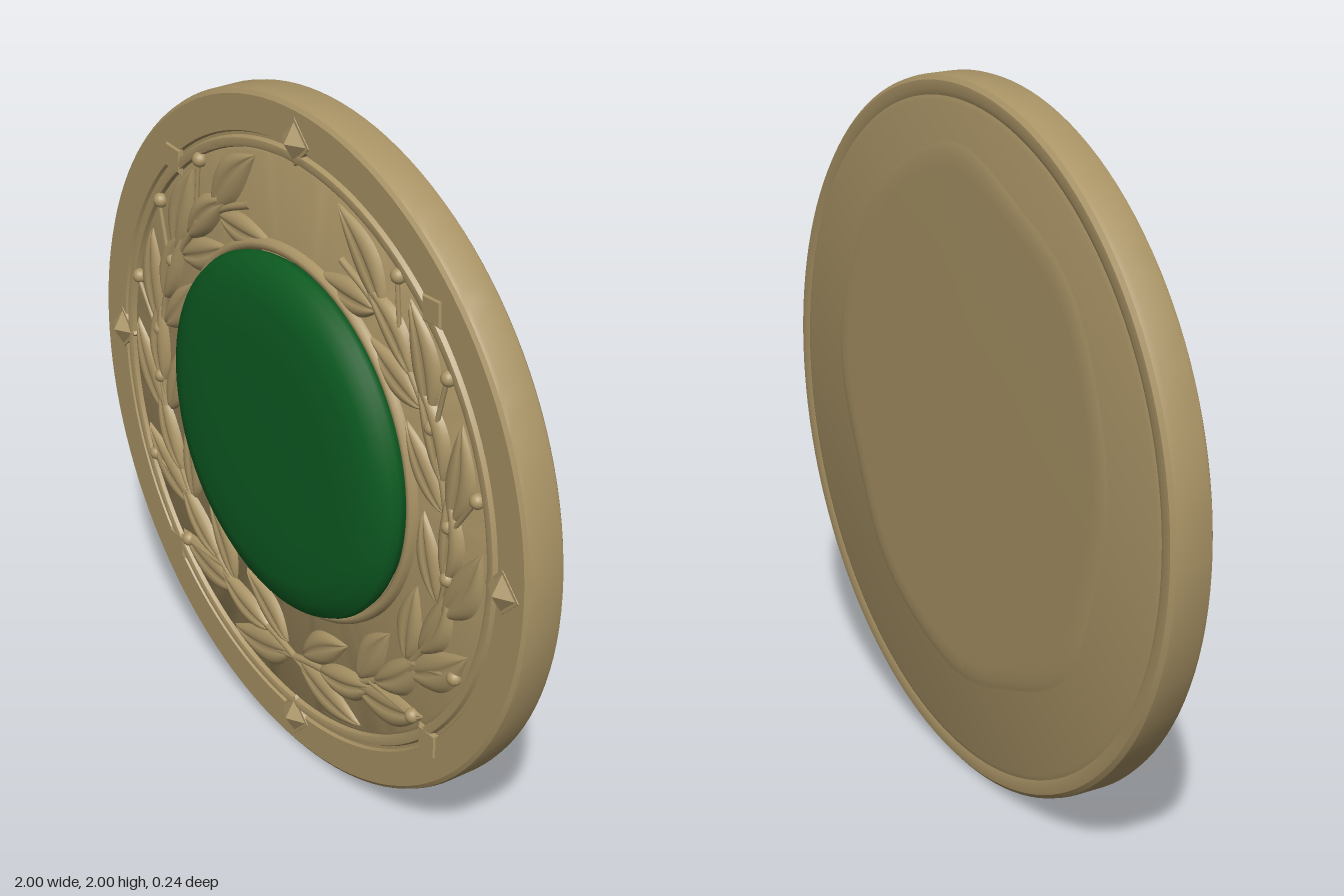
import * as THREE from 'three';
import { toCreasedNormals } from 'three/addons/utils/BufferGeometryUtils.js';

const bronze = new THREE.MeshStandardMaterial({ color: 0xaa9466 });
bronze.name = 'bronze';
const green = new THREE.MeshStandardMaterial({ color: 0x0d5c22 });
green.name = 'gem green';

const FIELD = 0.01; // height of the flat front field

// Turned part around the z axis; profile is [radius, z] from back to front
function turned(profile, segments = 96) {
  const points = profile.map(([r, z]) => new THREE.Vector2(r, z));
  return new THREE.LatheGeometry(points, segments).rotateX(Math.PI / 2);
}

// Point on the wreath: radius, degrees from the bottom, side (+1 or -1)
function polar(r, degrees, side, z = 0) {
  const t = THREE.MathUtils.degToRad(degrees);
  return new THREE.Vector3(side * r * Math.sin(t), 1 - r * Math.cos(t), z);
}

// Domed, pointed leaf with a sunken midrib, running from base to tip
function leafGeometry(base, tip, width, height, bend) {
  const length = base.distanceTo(tip);
  const geo = new THREE.PlaneGeometry(1, 2, 14, 12);
  const pos = geo.attributes.position;
  for (let i = 0; i < pos.count; i++) {
    const u = pos.getX(i) + 0.5;
    const v = pos.getY(i);
    const outline = Math.sin(Math.PI * Math.pow(u, 0.85));
    const rib = 1 - 0.4 * Math.exp(-Math.pow(v * 7, 2));
    const dome = (1 - Math.pow(v, 4)) * rib * Math.pow(Math.max(outline, 0), 0.4);
    pos.setXYZ(i, u * length,
      v * width / 2 * outline + bend * Math.sin(Math.PI * u),
      height * dome - 0.002);
  }
  geo.rotateZ(Math.atan2(tip.y - base.y, tip.x - base.x));
  geo.translate(base.x, base.y, FIELD);
  geo.computeVertexNormals();
  return geo;
}

export function createModel() {
  const model = new THREE.Group();
  model.name = 'medallion';
  const add = (name, geo, material = bronze, parent = model) => {
    const mesh = new THREE.Mesh(geo, material);
    mesh.name = name;
    parent.add(mesh);
    return mesh;
  };

  // Disc with rounded edge, raised rim and ring grooves on the front
  const disc = turned([
    [0, -0.112], [0.93, -0.112], [0.945, -0.107], [0.96, -0.112], [0.985, -0.11],
    [0.997, -0.1], [1, -0.085], [1, -0.005], [0.996, 0.007], [0.985, 0.015],
    [0.9, 0.015], [0.885, 0.015], [0.88, 0.006], [0.872, 0.006], [0.866, 0.018],
    [0.85, 0.02], [0.842, 0.017], [0.838, 0.005], [0.83, FIELD], [0, FIELD],
  ], 128);
  add('disc', toCreasedNormals(disc, 0.6)).position.y = 1;

  // Slightly wavy raised area on the back
  const plateau = turned([[0, -0.12], [0.9, -0.12], [0.95, -0.118], [0.98, -0.114], [1, -0.11]], 72);
  const pp = plateau.attributes.position;
  for (let i = 0; i < pp.count; i++) {
    const a = Math.atan2(pp.getY(i), pp.getX(i));
    const wave = 1 + 0.015 * Math.sin(5 * a + 1) + 0.012 * Math.cos(8 * a);
    pp.setXY(i, pp.getX(i) * 0.72 * wave, pp.getY(i) * 0.77 * wave);
  }
  plateau.computeVertexNormals();
  add('backPlateau', plateau).position.y = 1.05;

  // Domed gem and its bezel
  const gem = turned([
    [0.5, 0], [0.52, 0.03], [0.525, 0.05], [0.515, 0.072], [0.47, 0.097],
    [0.41, 0.113], [0.3, 0.118], [0.15, 0.12], [0, 0.12],
  ], 72);
  add('gem', gem, green).position.y = 1.045;
  const bezel = turned([[0.552, 0], [0.55, 0.022], [0.542, 0.032], [0.532, 0.034], [0.522, 0.028], [0.518, 0]], 96);
  add('bezel', bezel).position.y = 1.045;

  // Four pyramid studs on the rim
  for (const [x, y] of [[0, 0.1], [0, 1.9], [0.9, 1], [-0.9, 1]]) {
    const stud = new THREE.ConeGeometry(0.066, 0.038, 4).rotateX(Math.PI / 2);
    add('rimStud', toCreasedNormals(stud, 0.3)).position.set(x, y, 0.029);
    const plate = new THREE.CylinderGeometry(0.066, 0.07, 0.012, 4).rotateX(Math.PI / 2);
    add('studPlate', toCreasedNormals(plate, 0.3)).position.set(x, y, 0.011);
  }

  // Low lozenges between the studs
  for (const degrees of [45, 138]) {
    for (const side of [1, -1]) {
      const lozenge = new THREE.CylinderGeometry(0.045, 0.058, 0.01, 4).rotateX(Math.PI / 2);
      const mesh = add('rimLozenge', toCreasedNormals(lozenge, 0.3));
      mesh.position.copy(polar(0.88, degrees, side, 0.015));
      mesh.rotation.z = side * THREE.MathUtils.degToRad(degrees);
    }
  }

  // Two mirrored wreath branches
  const berries = [[0.8, 44], [0.81, 64], [0.82, 105], [0.83, 127], [0.83, 147], [0.69, 97], [0.69, 119], [0.69, 84]];
  for (const side of [1, -1]) {
    const branch = new THREE.Group();
    branch.name = side > 0 ? 'leftBranch' : 'rightBranch';
    model.add(branch);

    // Stem
    const path = [];
    for (let t = -6; t <= 162; t += 12) path.push(polar(t < 0 ? 0.72 : 0.68, t, side, 0.013));
    add('stem', new THREE.TubeGeometry(new THREE.CatmullRomCurve3(path), 60, 0.011, 8), bronze, branch);

    // Clusters of outer, inner and middle leaves
    for (let i = 0; i < 7; i++) {
      const t = 1 + 24 * i;
      const leaf = (name, r0, t0, r1, t1, width, height, bend) => add(name,
        leafGeometry(polar(r0, t0, side), polar(r1, t1, side), width, height, side * bend), bronze, branch);
      leaf('outerLeaf', 0.69, t, 0.82, t + 22, 0.12, 0.021, -0.02);
      leaf('innerLeaf', 0.67, t + 2, 0.58, t + 25, 0.105, 0.021, 0.01);
      if (i < 6) leaf('middleLeaf', 0.68, t + 9, 0.7, t + 33, 0.105, 0.025, -0.02);
    }

    // Berries on short stalks
    for (const [r, t] of berries) {
      const stalk = new THREE.LineCurve3(polar(0.68, t - 11, side, 0.02), polar(r, t, side, 0.02));
      add('berryStalk', new THREE.TubeGeometry(stalk, 1, 0.007, 6), bronze, branch);
      const berry = add('berry', new THREE.SphereGeometry(0.022, 16, 12), bronze, branch);
      berry.position.copy(polar(r, t, side, 0.015));
    }
  }
  return model;
}
